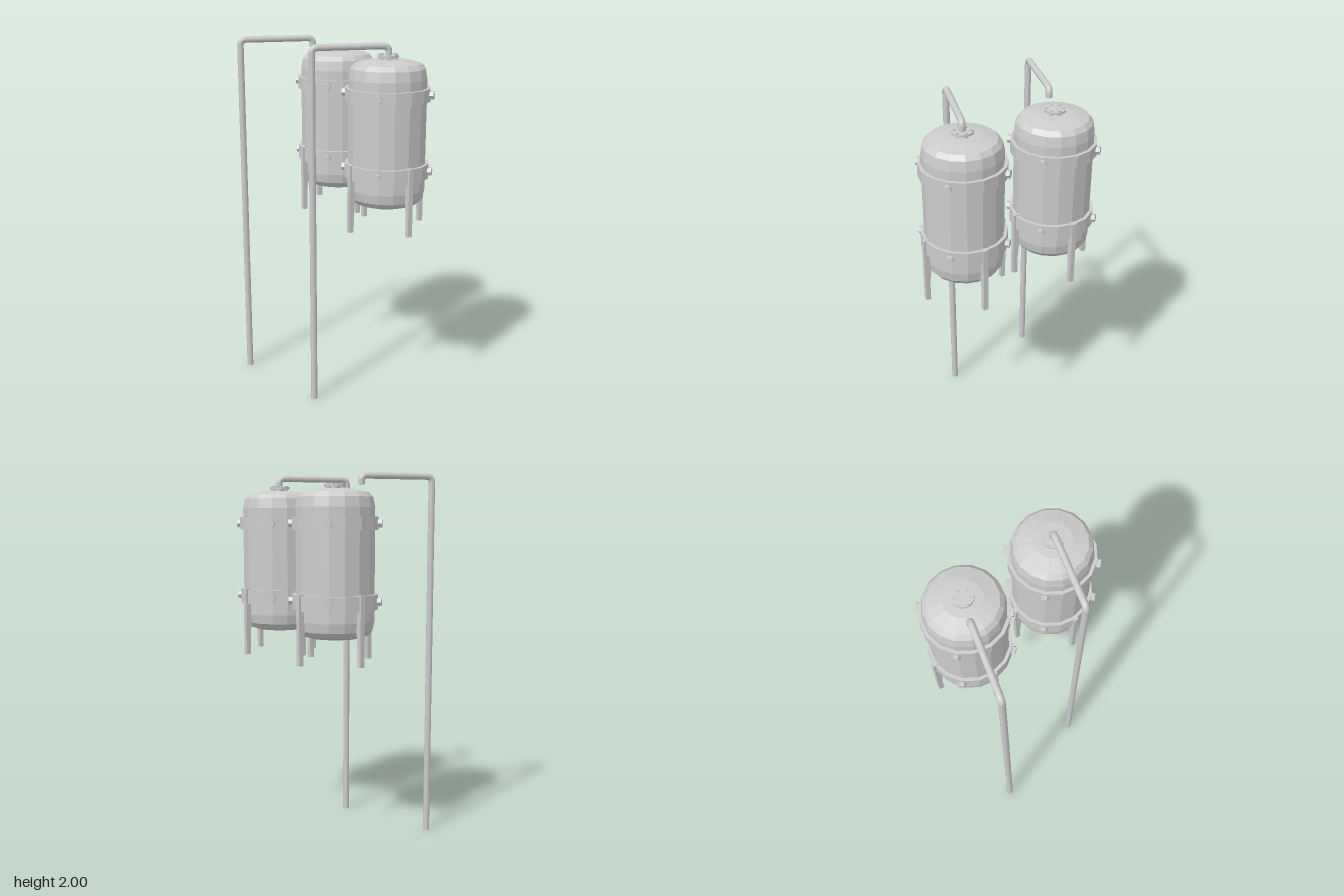
import * as THREE from 'three';

const flat = new THREE.MeshStandardMaterial({ color: 0xcccccc, flatShading: true });
const smooth = new THREE.MeshStandardMaterial({ color: 0xcccccc });
const SIDES = 16;

function add(parent, name, geometry, material = flat) {
  const mesh = new THREE.Mesh(geometry, material);
  mesh.name = name;
  parent.add(mesh);
  return mesh;
}

const lathe = (points) =>
  new THREE.LatheGeometry(points.map(([r, y]) => new THREE.Vector2(r, y)), SIDES);

// Closed rectangular hoop around the tank
const hoop = (y0, y1) =>
  lathe([[0.2, y0], [0.228, y0], [0.228, y1], [0.2, y1]]);

// Leg outline: straight outside, curving in to the tank on the inside
function legGeometry() {
  const s = new THREE.Shape();
  s.moveTo(0.212, 1.0);
  s.lineTo(0.238, 1.0);
  s.lineTo(0.238, 1.37);
  s.lineTo(0.198, 1.37);
  s.lineTo(0.198, 1.2);
  s.quadraticCurveTo(0.212, 1.14, 0.212, 1.08);
  s.closePath();
  return new THREE.ExtrudeGeometry(s, { depth: 0.026, bevelEnabled: false, curveSegments: 5 })
    .translate(0, 0, -0.013);
}

function createTank() {
  const tank = new THREE.Group();
  tank.name = 'tank';

  // Shell with rounded shoulders
  add(tank, 'shell', lathe([
    [0, 1.135], [0.14, 1.135], [0.178, 1.148], [0.2, 1.175], [0.21, 1.225],
    [0.21, 1.815], [0.2, 1.868], [0.178, 1.892], [0.1, 1.91], [0, 1.915],
  ]));

  // Clamping bands with hexagonal bolts on the diagonals
  for (const [y0, y1] of [[1.285, 1.365], [1.698, 1.767]]) {
    add(tank, 'band', hoop(y0, y1));
    for (let i = 0; i < 4; i++) {
      const bolt = new THREE.CylinderGeometry(0.023, 0.023, 0.04, 6)
        .rotateZ(-Math.PI / 2)
        .translate(0.227, (y0 + y1) / 2, 0)
        .rotateY(Math.PI / 4 + i * Math.PI / 2);
      add(tank, 'bandBolt', bolt);
    }
  }

  // Four legs on the axes
  const leg = legGeometry();
  for (let i = 0; i < 4; i++) add(tank, 'leg', leg).rotation.y = i * Math.PI / 2;

  // Top flange with its neck and ring of bolts
  add(tank, 'neck', new THREE.CylinderGeometry(0.035, 0.035, 0.03, SIDES)).position.y = 1.914;
  add(tank, 'flange', new THREE.CylinderGeometry(0.057, 0.057, 0.012, SIDES)).position.y = 1.929;
  for (let i = 0; i < 6; i++) {
    const a = i * Math.PI / 3;
    add(tank, 'flangeBolt', new THREE.CylinderGeometry(0.01, 0.01, 0.03, 6))
      .position.set(0.042 * Math.cos(a), 1.926, 0.042 * Math.sin(a));
  }
  return tank;
}

// Standing pipe that bends over and drops at its far end
function createPipe() {
  const pipe = new THREE.Group();
  pipe.name = 'pipe';
  const V = (x, y, z) => new THREE.Vector3(x, y, z);
  const R = 0.018, top = 1.982, bend = 0.032, end = V(0.4, 0, 0.106);
  const dir = end.clone().normalize();
  const a = V(0, top, 0), b = V(end.x, top, end.z);
  const a0 = V(0, top - bend, 0), a1 = a.clone().addScaledVector(dir, bend);
  const b0 = b.clone().addScaledVector(dir, -bend), b1 = V(b.x, top - bend, b.z);
  const tip = V(b.x, 1.933, b.z);

  const path = new THREE.CurvePath();
  path.add(new THREE.LineCurve3(V(0, 0, 0), a0));
  path.add(new THREE.QuadraticBezierCurve3(a0, a, a1));
  path.add(new THREE.LineCurve3(a1, b0));
  path.add(new THREE.QuadraticBezierCurve3(b0, b, b1));
  path.add(new THREE.LineCurve3(b1, tip));
  add(pipe, 'pipeRun', new THREE.TubeGeometry(path, 240, R, 12), smooth);

  // End caps, both facing down
  for (const p of [V(0, 0, 0), tip]) {
    add(pipe, 'pipeCap', new THREE.CircleGeometry(R, 12).rotateX(Math.PI / 2)).position.copy(p);
  }
  return pipe;
}

export function createModel() {
  const model = new THREE.Group();
  model.name = 'tankPair';

  for (const z of [0.263, -0.265]) {
    const tank = createTank();
    tank.position.set(0.157, 0, z);
    model.add(tank);
  }
  for (const [x, z] of [[-0.241, 0.158], [-0.379, -0.418]]) {
    const pipe = createPipe();
    pipe.position.set(x, 0, z);
    model.add(pipe);
  }
  return model;
}
